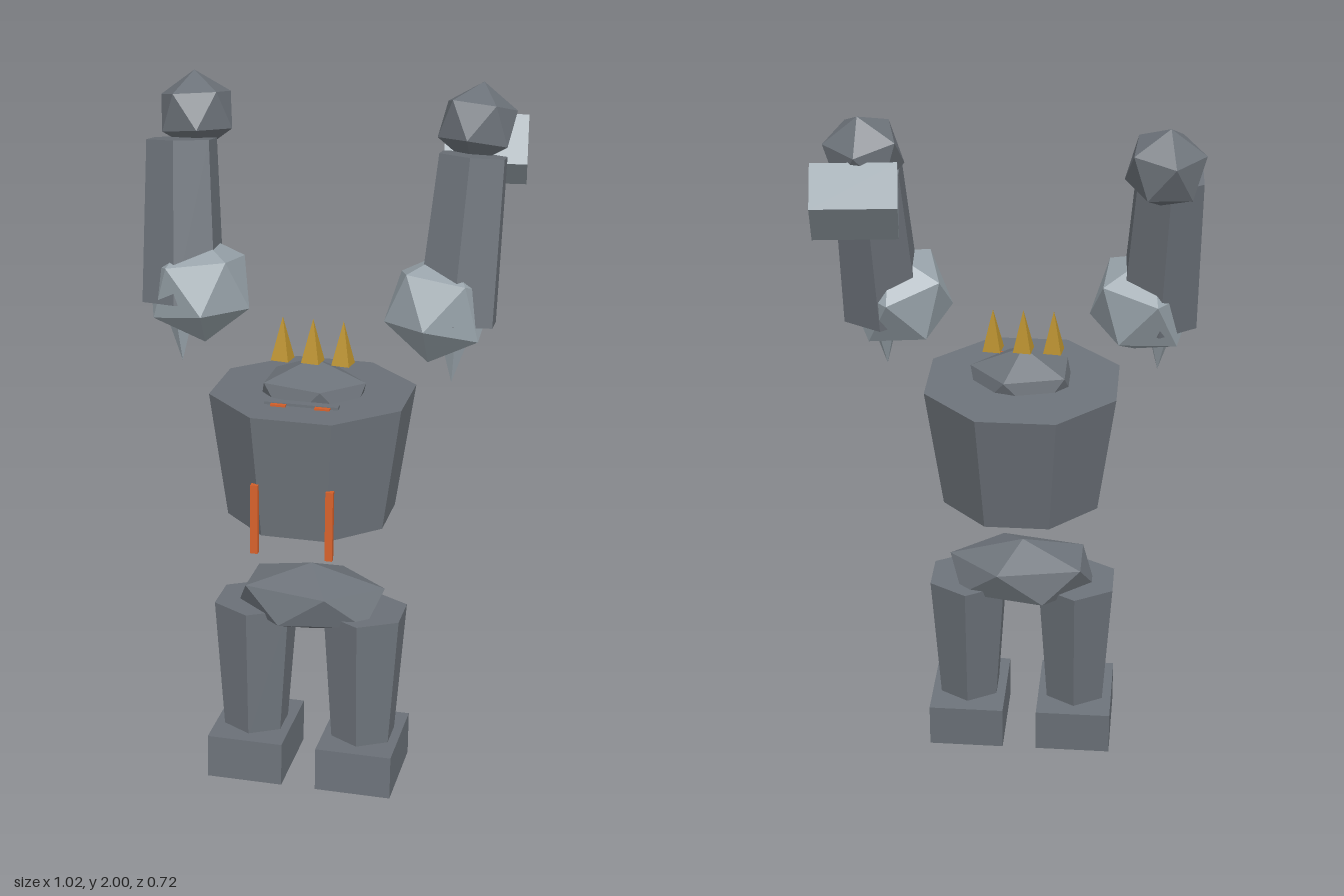
import * as THREE from 'three';

const mat = (name, color) => {
  const m = new THREE.MeshStandardMaterial({ color, flatShading: true });
  m.name = name;
  return m;
};

export function createModel() {
  const stone = mat('stone', 0x6c7279);
  const paleStone = mat('pale stone', 0x98a3aa);
  const gold = mat('gold', 0xb9902c);
  const glow = mat('glowing orange', 0xd4602a);

  const model = new THREE.Group();
  model.name = 'golem';

  // Body frame leans back slightly; arms are placed upright in the model frame
  const body = new THREE.Group();
  body.name = 'body';
  body.position.set(-0.035, 0, 0.17);
  body.rotation.set(-0.085, -0.055, 0);
  model.add(body);

  const add = (parent, name, geometry, material, x, y, z) => {
    const mesh = new THREE.Mesh(geometry, material);
    mesh.name = name;
    mesh.position.set(x, y, z);
    parent.add(mesh);
    return mesh;
  };
  const box = (w, h, d) => new THREE.BoxGeometry(w, h, d);
  // Faceted boulder with a corner pointing straight up
  const boulder = (rx, ry, rz) =>
    new THREE.IcosahedronGeometry(1, 0).rotateZ(-0.5536).scale(rx, ry, rz);
  // Turn a mesh so its own y axis runs along a direction
  const aim = (mesh, dir) =>
    mesh.quaternion.setFromUnitVectors(new THREE.Vector3(0, 1, 0), dir.clone().normalize());

  // Legs and feet
  for (const [side, s] of [['left', 1], ['right', -1]]) {
    add(body, side + 'Foot', box(0.22, 0.13, 0.28), stone, s * 0.16, 0.078, 0);
    add(body, side + 'Leg', new THREE.CylinderGeometry(0.125, 0.095, 0.41, 6), stone, s * 0.16, 0.33, 0);
  }

  // Pelvis, torso and sunken head
  add(body, 'pelvis', boulder(0.24, 0.103, 0.147), stone, 0, 0.56, 0);
  add(body, 'torso', new THREE.CylinderGeometry(0.29, 0.238, 0.357, 8, 1, false, Math.PI / 8), stone, 0, 1.008, 0);
  add(body, 'head', boulder(0.167, 0.11, 0.135), stone, 0, 1.172, 0.01);
  add(body, 'brow', box(0.205, 0.05, 0.026), stone, 0, 1.169, 0.139);

  // Eyes and glowing cracks
  for (const s of [1, -1]) {
    add(body, 'eye', box(0.042, 0.03, 0.016), glow, s * 0.061, 1.177, 0.157);
    add(body, 'crack', box(0.021, 0.2, 0.016), glow, s * 0.104, 0.887, 0.243);
  }

  // Crown spikes
  for (const x of [-0.085, 0, 0.085]) {
    add(body, 'crownSpike', new THREE.ConeGeometry(0.036, 0.122, 4), gold, x, 1.333, 0.014)
      .rotation.y = Math.PI / 4 - 0.12;
  }

  // Raised arms: shoulder boulder, spike, forearm and fist
  const arms = [
    { side: 'left', s: 1, ball: [0.305, 1.44, 0.04], low: [0.352, 1.4, 0.04],
      high: [0.375, 1.835, -0.062], fist: [0.375, 1.894, -0.15], tip: [0.345, 1.23, 0.065] },
    { side: 'right', s: -1, ball: [-0.365, 1.44, 0.005], low: [-0.408, 1.4, 0.015],
      high: [-0.425, 1.83, -0.09], fist: [-0.407, 1.876, -0.197], tip: [-0.41, 1.23, 0.04] },
  ];
  for (const a of arms) {
    const v = (p) => new THREE.Vector3(...p);
    const axis = v(a.high).sub(v(a.low));
    const mid = v(a.low).addScaledVector(axis, 0.5);

    const ball = add(model, a.side + 'Shoulder', boulder(0.155, 0.155, 0.155), paleStone, ...a.ball);
    ball.rotation.set(-0.3, a.s > 0 ? 0.2 : 0.5, -a.s * 0.15);

    const arm = add(model, a.side + 'Forearm',
      new THREE.CylinderGeometry(0.1, 0.118, axis.length(), 6), stone, mid.x, mid.y, mid.z);
    aim(arm, axis);

    const fist = add(model, a.side + 'Fist', boulder(0.113, 0.113, 0.113), stone, ...a.fist);
    fist.rotation.set(-0.3, a.s > 0 ? 0.2 : 0.5, -a.s * 0.1);

    const down = new THREE.Vector3(-a.s * 0.03, -1, 0.12).normalize();
    const base = v(a.tip).addScaledVector(down, -0.08);
    const spike = add(model, a.side + 'ShoulderSpike',
      new THREE.ConeGeometry(0.05, 0.16, 5), paleStone, base.x, base.y, base.z);
    aim(spike, down);
  }

  // Stone block behind the left fist
  const block = add(model, 'fistBlock', box(0.225, 0.146, 0.14), paleStone, 0.392, 1.795, -0.25);
  block.rotation.set(-0.71, 0.07, 0, 'YXZ');

  return model;
}
